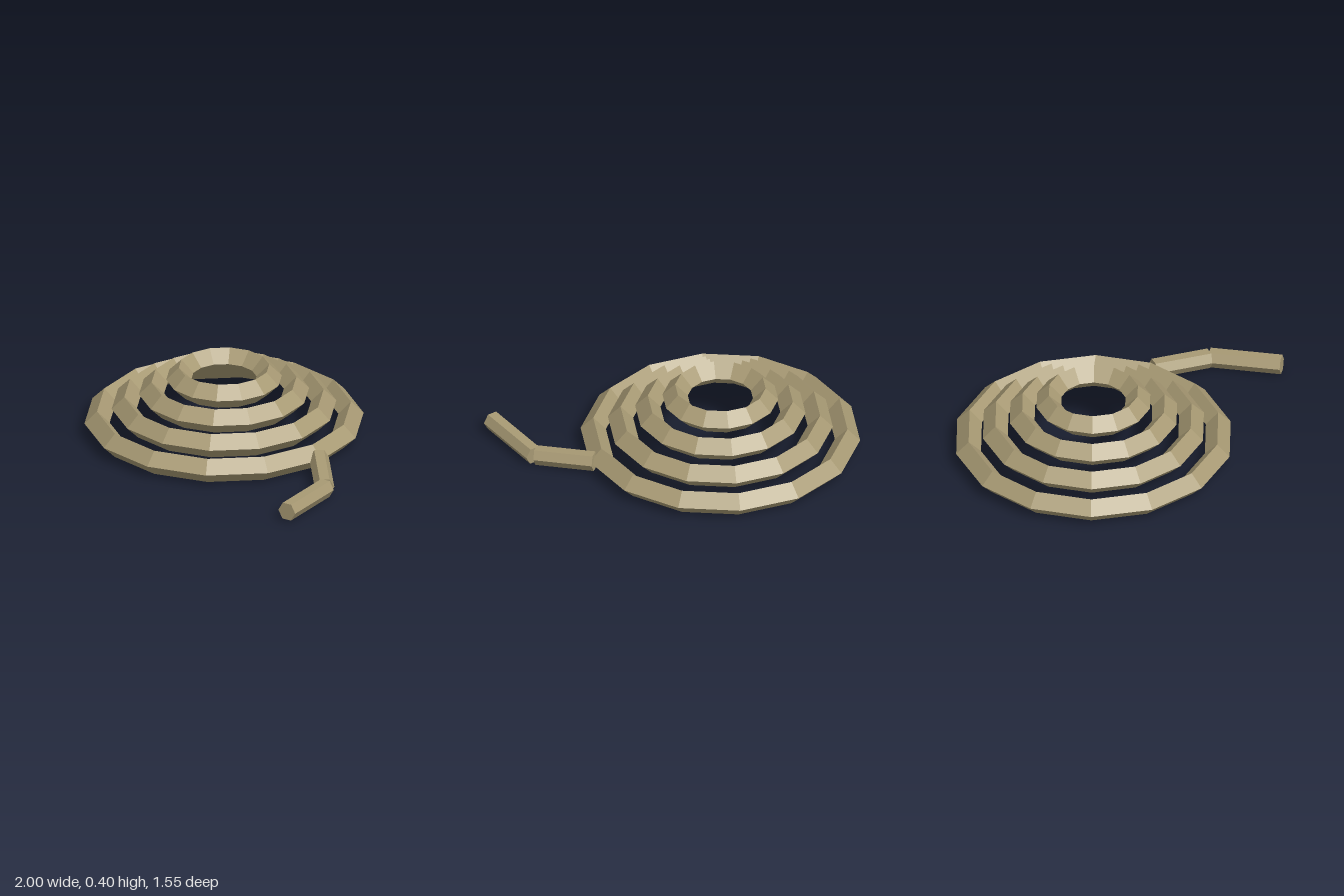
import * as THREE from 'three';

export function createModel() {
  const model = new THREE.Group();
  const rope = new THREE.MeshStandardMaterial({ color: 0xa89a74, flatShading: true });
  rope.name = 'rope tan';

  const add = (geometry, name) => {
    const mesh = new THREE.Mesh(geometry, rope);
    mesh.name = name;
    model.add(mesh);
    return mesh;
  };

  // Stacked coils: diamond-section rings shrinking towards the top
  for (let i = 0; i < 4; i++) {
    const ring = new THREE.TorusGeometry(0.722 - i * 0.155, 0.072, 4, 14).rotateX(-Math.PI / 2);
    add(ring, `coil${i + 1}`).position.set(-0.206, 0.078 + i * 0.084, -0.002);
  }

  // Loose end: two straight hexagonal lengths with side ridges
  const addLength = (name, from, to) => {
    const a = new THREE.Vector3(...from);
    const b = new THREE.Vector3(...to);
    const bar = new THREE.CylinderGeometry(0.056, 0.056, a.distanceTo(b), 6);
    bar.rotateY(Math.PI / 2).rotateX(Math.PI / 2);
    const mesh = add(bar, name);
    mesh.position.copy(a).add(b).multiplyScalar(0.5);
    mesh.lookAt(b);
  };
  addLength('looseEndInner', [0.56, 0.081, -0.01], [0.83, 0.053, 0.207]);
  addLength('looseEndTip', [0.84, 0.053, 0.21], [0.943, 0.066, 0.613]);

  return model;
}
